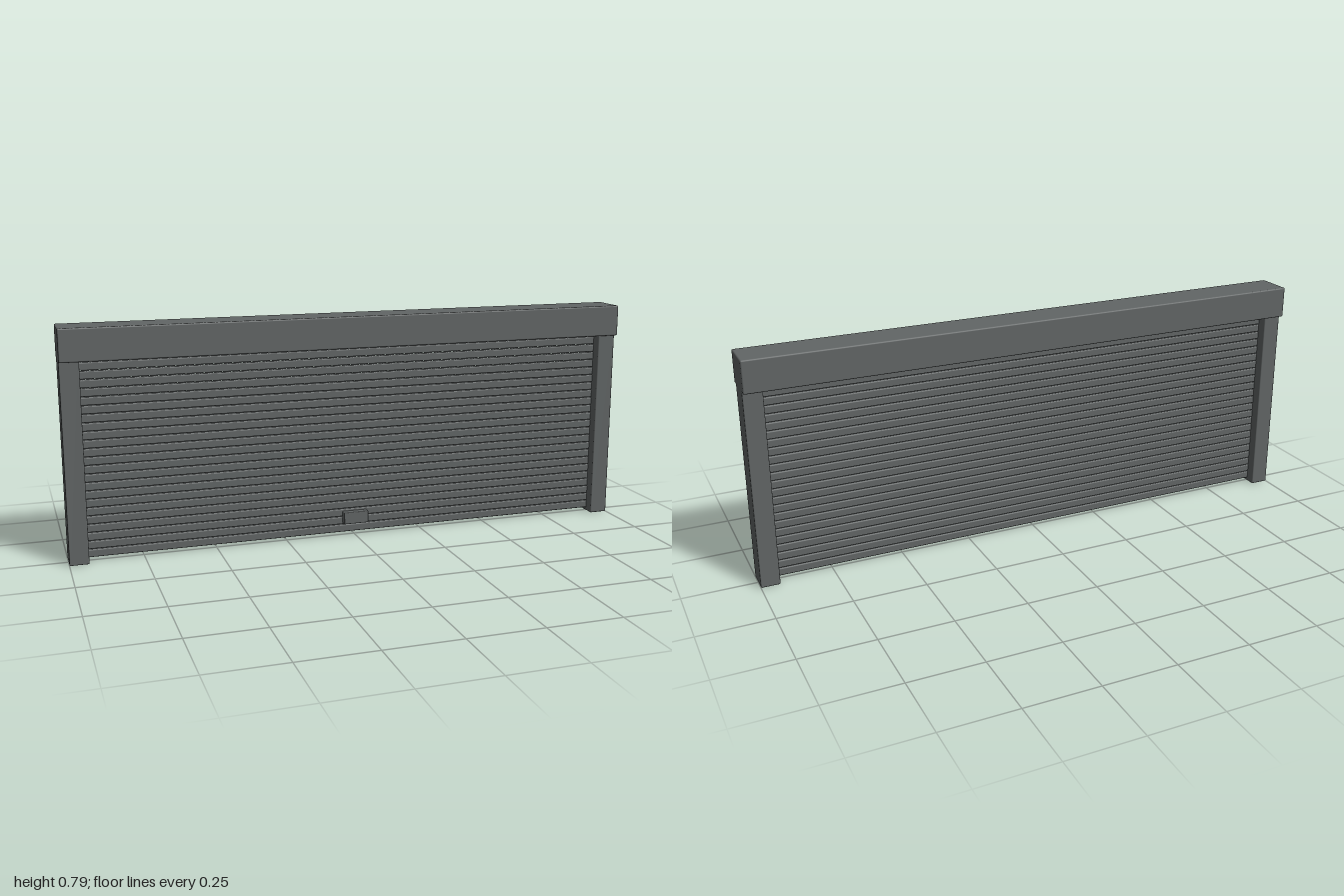
import * as THREE from 'three';
import { RoundedBoxGeometry } from 'three/addons/geometries/RoundedBoxGeometry.js';

const anthracite = new THREE.MeshStandardMaterial({ color: 0x626666 });
anthracite.name = 'anthracite metal';

// Rounded box given by its centre and size
function box(name, [x, y, z], [w, h, d], radius) {
  const mesh = new THREE.Mesh(new RoundedBoxGeometry(w, h, d, 2, radius), anthracite);
  mesh.name = name;
  mesh.position.set(x, y, z);
  return mesh;
}

export function createModel() {
  const group = new THREE.Group();
  group.name = 'rollerShutter';

  // Housing for the rolled-up curtain
  group.add(box('housing', [0, 0.735, 0], [2, 0.11, 0.13], 0.005));

  // Guide rails on both sides, reaching up into the housing
  for (const side of [-1, 1]) {
    const name = side > 0 ? 'leftRail' : 'rightRail';
    group.add(box(name, [side * 0.9675, 0.345, 0], [0.065, 0.69, 0.088], 0.004));
  }

  // Curtain of slats with narrow gaps
  const curtain = new THREE.Group();
  curtain.name = 'curtain';
  const count = 23, bottom = 0.011, pitch = 0.0287;
  for (let i = 0; i < count; i++) {
    const y = bottom + (i + 0.5) * pitch;
    curtain.add(box('slat', [0, y, 0], [1.89, pitch - 0.002, 0.018], 0.004));
  }
  group.add(curtain);

  // Pull handle near the bottom of the front
  group.add(box('handle', [0, 0.067, 0.018], [0.09, 0.043, 0.026], 0.003));

  return group;
}
